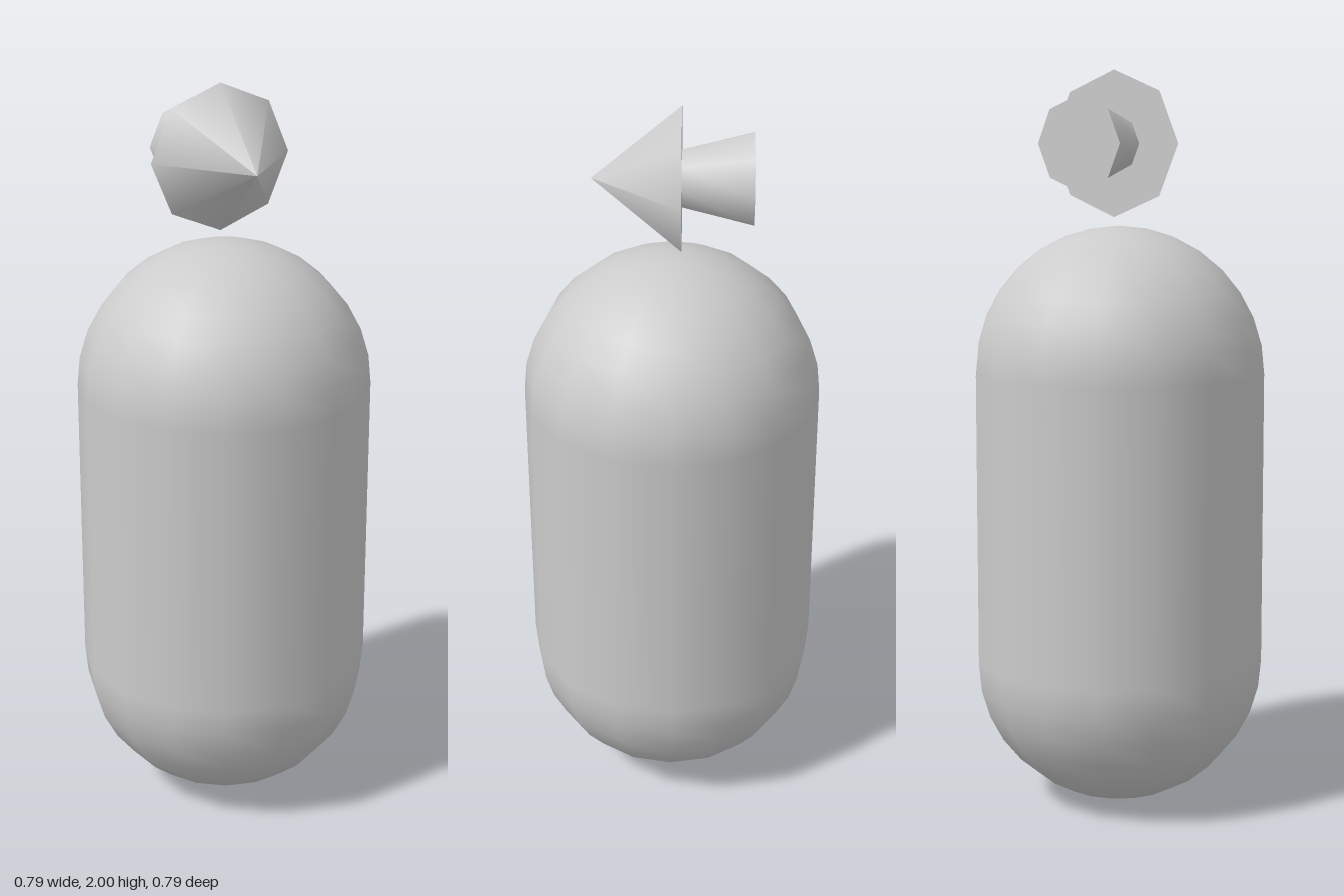
import * as THREE from 'three';

const material = new THREE.MeshStandardMaterial({ color: 0xcccccc });

// Eight-sided tapered solid along z, from zBack to zFront
function taper(name, frontRadius, backRadius, zBack, zFront, y) {
  const geometry = new THREE.CylinderGeometry(frontRadius, backRadius, zFront - zBack, 8);
  geometry.rotateX(Math.PI / 2);
  const mesh = new THREE.Mesh(geometry, material);
  mesh.name = name;
  mesh.position.set(0, y, (zBack + zFront) / 2);
  return mesh;
}

export function createModel() {
  const model = new THREE.Group();
  model.name = 'capsuleWithPointer';

  // Upright capsule body
  const radius = 0.3965;
  const body = new THREE.Mesh(new THREE.CapsuleGeometry(radius, radius * 2, 8, 16), material);
  body.name = 'body';
  body.position.y = radius * 2;
  model.add(body);

  // Arrow floating above, pointing forward
  const arrow = new THREE.Group();
  arrow.name = 'directionArrow';
  const y = 1.805;
  arrow.add(taper('arrowHead', 0, 0.195, -0.025, 0.205, y));
  arrow.add(taper('arrowTail', 0.077, 0.125, -0.208, -0.024, y));
  model.add(arrow);

  return model;
}
